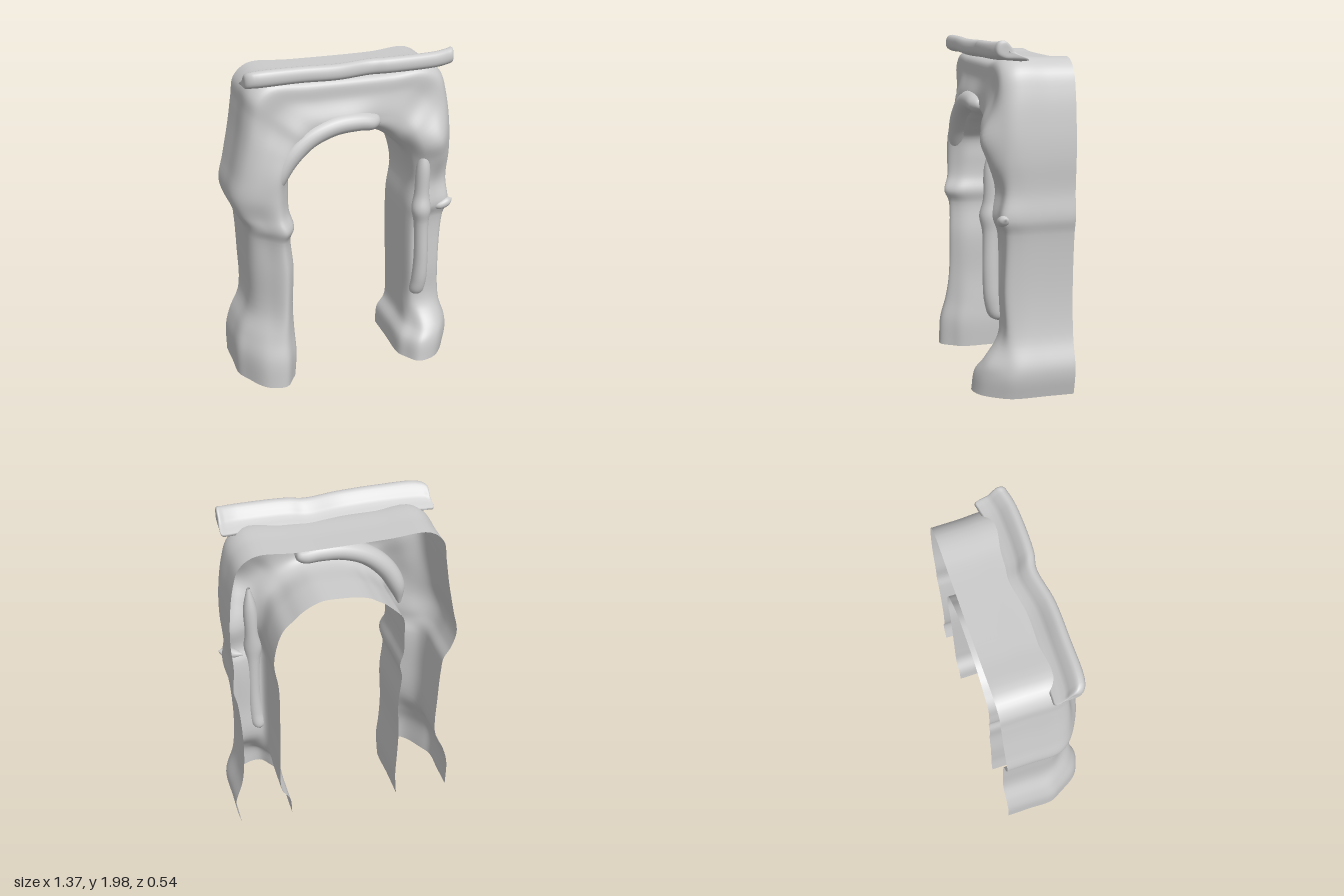
import * as THREE from 'three';
import { mergeVertices } from 'three/addons/utils/BufferGeometryUtils.js';

const material = new THREE.MeshStandardMaterial({ color: 0xcccccc, side: THREE.DoubleSide });
const V = (x, y, z) => new THREE.Vector3(x, y, z);
const BACK = -0.27;

// Smooth surface through rows of cross-section points
function loft(name, rows, nu, nv, closed = false) {
  const columns = rows[0].map((_, j) => new THREE.CatmullRomCurve3(rows.map((r) => r[j])));
  const pos = [], index = [];
  for (let i = 0; i <= nu; i++) {
    const section = new THREE.CatmullRomCurve3(columns.map((c) => c.getPoint(i / nu)), closed);
    for (let j = 0; j <= nv; j++) pos.push(...section.getPoint(j / nv).toArray());
  }
  const w = nv + 1;
  for (let i = 0; i < nu; i++) {
    for (let j = 0; j < nv; j++) {
      const a = i * w + j, b = a + w;
      index.push(a, b, a + 1, b, b + 1, a + 1);
    }
  }
  let geo = new THREE.BufferGeometry();
  geo.setAttribute('position', new THREE.Float32BufferAttribute(pos, 3));
  geo.setIndex(index);
  geo = mergeVertices(geo, 1e-5);
  geo.computeVertexNormals();
  const mesh = new THREE.Mesh(geo, material);
  mesh.name = name;
  return mesh;
}

// Rounded roll of varying radius along a path in x, y: points are [x, y, z, width, depth]
function roll(name, pts) {
  const rows = pts.map((p, i) => {
    const a = pts[Math.max(i - 1, 0)], b = pts[Math.min(i + 1, pts.length - 1)];
    const t = V(b[0] - a[0], b[1] - a[1], 0).normalize();
    return Array.from({ length: 10 }, (_, k) => {
      const ang = (-k / 10) * Math.PI * 2, c = Math.cos(ang) * p[3];
      return V(p[0] - t.y * c, p[1] + t.x * c, p[2] + Math.sin(ang) * p[4]);
    });
  });
  return loft(name, rows, pts.length * 6, 20, true);
}

// One shell section: back of the inner wall, round the front, to back of the outer wall
function shellSection([ix, iy, ox, oy, zi, zr, zm, zo]) {
  const at = (f, z) => V(ix + (ox - ix) * f, iy + (oy - iy) * f, z);
  return [
    at(0, BACK), at(0, -0.08), at(0, zi - 0.06), at(0.1, zi), at(0.28, zr),
    at(0.62, zm), at(0.9, zo), at(1, zo - 0.07), at(1, -0.12), at(1, BACK),
  ];
}

// inner x, y, outer x, y, then front depth at inner edge, ridge, middle and outer edge
const rightLeg = [
  [-0.35, 0.02, -0.68, 0.02, 0.2, 0.27, 0.24, 0.1],
  [-0.34, 0.18, -0.68, 0.2, 0.2, 0.265, 0.23, 0.1],
  [-0.345, 0.32, -0.65, 0.32, 0.18, 0.235, 0.19, 0.08],
  [-0.35, 0.5, -0.59, 0.46, 0.17, 0.215, 0.15, 0.07],
  [-0.34, 0.75, -0.59, 0.75, 0.17, 0.21, 0.15, 0.08],
  [-0.355, 0.95, -0.6, 0.96, 0.17, 0.21, 0.15, 0.09],
  [-0.34, 1.03, -0.61, 1.03, 0.2, 0.24, 0.18, 0.11],
  [-0.36, 1.12, -0.65, 1.1, 0.17, 0.215, 0.16, 0.1],
  [-0.36, 1.24, -0.68, 1.21, 0.16, 0.21, 0.17, 0.1],
  [-0.35, 1.36, -0.65, 1.36, 0.16, 0.21, 0.17, 0.11],
];
const archway = [
  [-0.29, 1.43, -0.61, 1.56, 0.16, 0.2, 0.16, 0.12],
  [-0.24, 1.475, -0.585, 1.72, 0.16, 0.19, 0.14, 0.12],
  [-0.2, 1.5, -0.565, 1.83, 0.16, 0.19, 0.14, 0.13],
  [-0.15, 1.53, -0.48, 1.9, 0.16, 0.18, 0.14, 0.13],
  [-0.08, 1.55, -0.25, 1.895, 0.16, 0.18, 0.14, 0.13],
  [0.03, 1.56, 0.03, 1.89, 0.16, 0.18, 0.14, 0.13],
  [0.12, 1.56, 0.28, 1.89, 0.15, 0.16, 0.14, 0.13],
  [0.18, 1.54, 0.49, 1.9, 0.15, 0.16, 0.14, 0.13],
  [0.24, 1.505, 0.58, 1.84, 0.15, 0.17, 0.14, 0.13],
  [0.29, 1.46, 0.62, 1.72, 0.15, 0.2, 0.17, 0.13],
];
const leftLeg = [
  [0.35, 1.4, 0.645, 1.52, 0.15, 0.21, 0.23, 0.14],
  [0.385, 1.32, 0.65, 1.36, 0.14, 0.18, 0.19, 0.13],
  [0.41, 1.18, 0.64, 1.18, 0.13, 0.15, 0.13, 0.11],
  [0.39, 1.03, 0.65, 1.03, 0.15, 0.17, 0.15, 0.14],
  [0.385, 0.94, 0.63, 0.94, 0.13, 0.14, 0.12, 0.11],
  [0.39, 0.6, 0.61, 0.6, 0.12, 0.13, 0.12, 0.11],
  [0.395, 0.36, 0.63, 0.35, 0.1, 0.12, 0.12, 0.1],
  [0.39, 0.22, 0.675, 0.2, 0.15, 0.21, 0.21, 0.12],
  [0.34, 0.14, 0.675, 0.13, 0.19, 0.255, 0.24, 0.14],
  [0.33, 0.02, 0.65, 0.02, 0.2, 0.27, 0.25, 0.15],
];

// Cornice section at x, with lip depth z, lip height y and overall scale s
function corniceSection([x, z, y, s]) {
  const profile = [[-0.08, -0.1], [-0.02, -0.095], [0.015, -0.075], [0.022, -0.04], [0.01, -0.008],
    [-0.02, 0], [-0.055, -0.03], [-0.085, -0.065], [-0.16, -0.105]];
  return profile.map(([dz, dy]) => V(x, y - 0.05 + (dy + 0.05) * s, z - 0.04 + (dz + 0.04) * s));
}

export function createModel() {
  const group = new THREE.Group();
  group.name = 'archway';

  // Hollow body, open at the back and under the feet
  group.add(loft('archShell', [...rightLeg, ...archway, ...leftLeg].map(shellSection), 150, 60));

  // Overhanging lip along the top
  group.add(loft('cornice', [
    [-0.602, 0.145, 1.975, 0.05], [-0.6, 0.15, 1.975, 0.8], [-0.56, 0.17, 1.985, 1],
    [-0.3, 0.18, 1.99, 1], [-0.08, 0.18, 1.983, 1], [0.12, 0.15, 1.983, 1], [0.22, 0.17, 1.987, 1],
    [0.5, 0.17, 1.99, 1], [0.58, 0.155, 1.995, 1], [0.615, 0.145, 2, 0.95], [0.62, 0.14, 1.99, 0.05],
  ].map(corniceSection), 60, 28, true));

  // Raised roll over the arch, ending abruptly past the crown
  group.add(roll('archRoll', [
    [-0.46, 1.2, 0.13, 0.01, 0.01], [-0.44, 1.32, 0.14, 0.05, 0.06], [-0.37, 1.45, 0.145, 0.06, 0.07],
    [-0.25, 1.56, 0.145, 0.06, 0.07], [-0.1, 1.62, 0.145, 0.06, 0.072], [0.04, 1.63, 0.145, 0.058, 0.072],
    [0.13, 1.62, 0.145, 0.05, 0.065], [0.17, 1.625, 0.14, 0.03, 0.04], [0.18, 1.625, 0.14, 0.002, 0.002],
  ]));

  // Hanging strip down the front of the left leg
  group.add(roll('hangingStrip', [
    [0.46, 1.44, 0.15, 0.01, 0.01], [0.455, 1.3, 0.155, 0.04, 0.045], [0.45, 1.12, 0.155, 0.045, 0.05],
    [0.445, 1.03, 0.165, 0.058, 0.06], [0.45, 0.94, 0.16, 0.045, 0.05], [0.455, 0.7, 0.16, 0.042, 0.05],
    [0.45, 0.54, 0.15, 0.045, 0.05], [0.44, 0.45, 0.13, 0.038, 0.04], [0.435, 0.42, 0.115, 0.003, 0.003],
  ]));

  // Small knot where the band turns the outer corner
  group.add(roll('bandKnot', [
    [0.52, 1.01, 0.11, 0.005, 0.005], [0.57, 1.015, 0.13, 0.025, 0.03],
    [0.63, 1.035, 0.13, 0.028, 0.03], [0.66, 1.045, 0.13, 0.004, 0.004],
  ]));

  return group;
}
